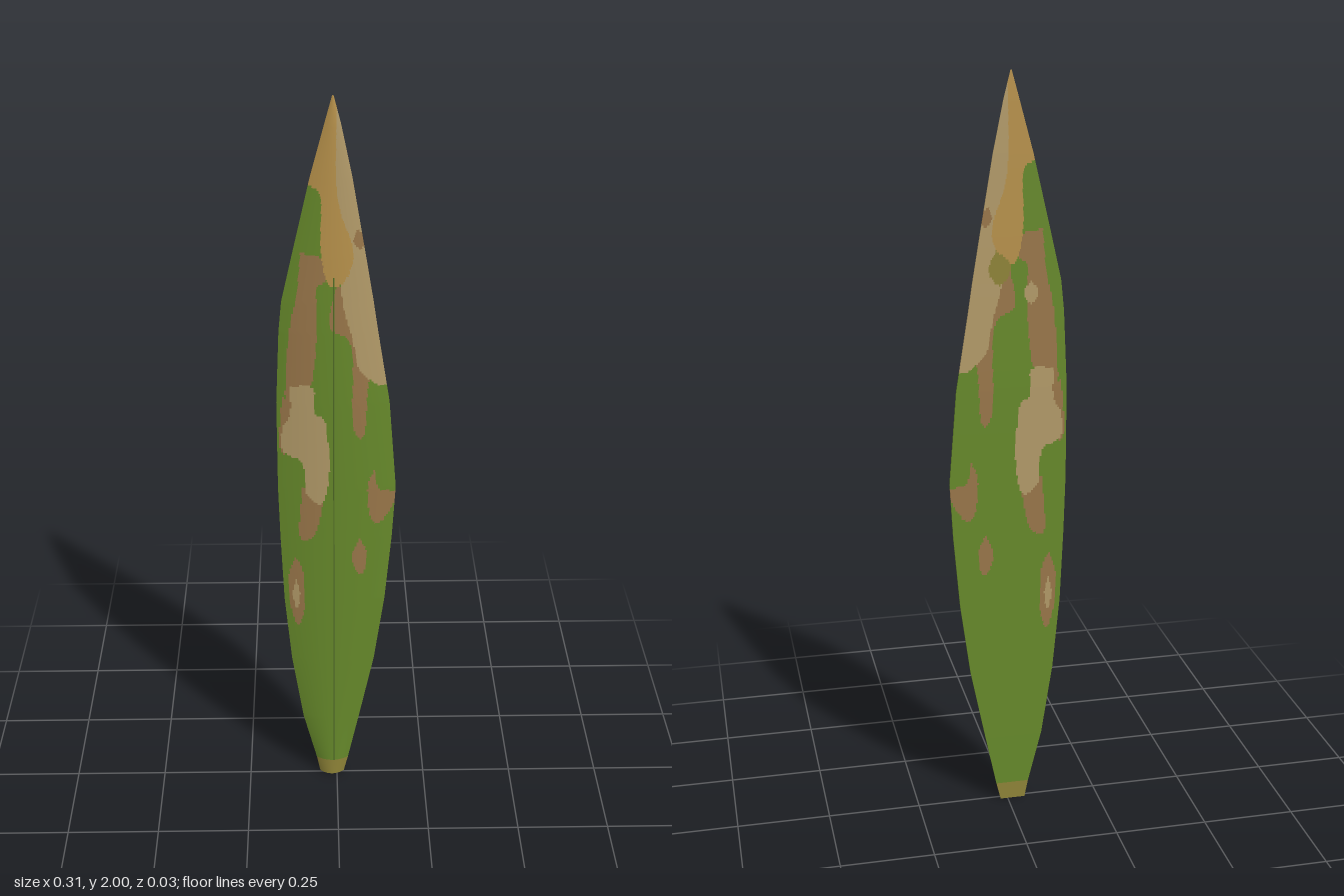
import * as THREE from 'three';

const mat = (name, color) => Object.assign(new THREE.MeshStandardMaterial({ color }), { name });
const materials = [
  mat('leafGreen', 0x678a2b), mat('dryTan', 0xb39b69), mat('blotchBrown', 0x9a774a),
  mat('tipOchre', 0xb8924b), mat('stemOlive', 0x8f8438), mat('ribGreen', 0x58762a),
];
const [GREEN, TAN, BROWN, OCHRE, OLIVE, RIB] = [0, 1, 2, 3, 4, 5];

// Cross-sections: y, left edge x, right edge x, back z, front z at edge, front z at middle
const sections = [
  [0.00, -0.048, 0.020, -0.012, -0.004, 0.011],
  [0.05, -0.058, 0.032, -0.012, -0.005, 0.011],
  [0.20, -0.095, 0.063, -0.013, -0.006, 0.011],
  [0.40, -0.125, 0.103, -0.013, -0.007, 0.011],
  [0.60, -0.143, 0.130, -0.014, -0.008, 0.011],
  [0.80, -0.151, 0.147, -0.015, -0.009, 0.011],
  [0.95, -0.155, 0.155, -0.015, -0.009, 0.011],
  [1.20, -0.155, 0.135, -0.015, -0.009, 0.011],
  [1.40, -0.146, 0.103, -0.013, -0.008, 0.010],
  [1.48, -0.138, 0.091, -0.012, -0.008, 0.009],
  [1.60, -0.111, 0.071, -0.011, -0.007, 0.007],
  [1.80, -0.065, 0.037, -0.009, -0.006, 0.003],
  [1.93, -0.030, 0.010, -0.007, -0.005, 0.000],
  [2.00, -0.011, -0.008, -0.005, -0.004, -0.003],
];

function sectionAt(y) {
  let i = 0;
  while (i < sections.length - 2 && y > sections[i + 1][0]) i++;
  const a = sections[i], b = sections[i + 1];
  const t = (y - a[0]) / (b[0] - a[0]);
  const [, left, right, back, edge, mid] = a.map((v, k) => v + (b[k] - v) * t);
  return { left, right, back, edge, mid };
}

function frontZ(s, x) {
  const t = (2 * (x - s.left)) / (s.right - s.left) - 1;
  return s.edge + (s.mid - s.edge) * (1 - t * t);
}

// Blotches: closed smooth outlines in hundredths of a unit; later ones lie on top
const blotches = [];
function blotch(color, points, backOnly = false) {
  const curve = new THREE.SplineCurve([...points, points[0]].map(([x, y]) => new THREE.Vector2(x / 100, y / 100)));
  const outline = curve.getPoints(points.length * 4);
  blotches.push({ color, outline, backOnly, box: new THREE.Box2().setFromPoints(outline) });
}
// right half
blotch(BROWN, [[0, 153], [-2, 142], [3, 138], [4, 130], [4, 114], [7, 111], [8, 126], [10, 128], [6, 140], [3, 150]]);
blotch(TAN, [[-1, 203], [-1, 176], [2, 162], [1, 153], [2, 145], [4, 138], [6, 129], [14, 126], [14, 150], [10, 180], [4, 203]]);
blotch(BROWN, [[5, 167], [7, 165], [6, 162], [4, 164]]);
blotch(BROWN, [[10, 101], [11, 95], [16, 93], [12, 85], [9, 86], [8, 96]]);
blotch(BROWN, [[6, 80], [8, 75], [7, 69], [5, 70], [4, 75]]);
// left half
blotch(BROWN, [[-9, 161], [-4, 160], [-3, 154], [-5, 152], [-5, 140], [-7, 124], [-13, 119], [-12, 140], [-10, 150]]);
blotch(BROWN, [[-14, 122], [-12, 118], [-13, 106], [-15, 108]]);
blotch(BROWN, [[-9, 96], [-4, 93], [-5, 84], [-7, 80], [-10, 81]]);
blotch(TAN, [[-12, 125], [-6, 125], [-6, 118], [-3, 115], [-2, 100], [-4, 91], [-8, 94], [-9, 103], [-14, 106], [-14, 113], [-12, 117]]);
blotch(BROWN, [[-11, 74], [-9, 68], [-9, 56], [-11, 52], [-13, 60], [-13, 68]]);
blotch(TAN, [[-11, 67], [-10, 62], [-11, 57], [-12, 62]]);
// tip, and two spots found only on the back
blotch(OCHRE, [[-1, 204], [-8, 181], [-4, 176], [-4, 162], [-2, 153], [2, 154], [4, 162], [0, 176], [0, 204]]);
blotch(OLIVE, [[3, 156], [5, 151], [2, 147], [-1, 152]], true);
blotch(TAN, [[-6, 148], [-4, 145], [-6, 142], [-8, 145]], true);

function inside(outline, x, y) {
  let hit = false;
  outline.forEach((p, i) => {
    const q = outline[(i || outline.length) - 1];
    if (p.y > y !== q.y > y && x < ((q.x - p.x) * (y - p.y)) / (q.y - p.y) + p.x) hit = !hit;
  });
  return hit;
}

function colorAt(x, y, onBack) {
  if (y < 0.05) return OLIVE;
  const p = new THREE.Vector2(x, y);
  let color = GREEN;
  for (const b of blotches) {
    if ((!b.backOnly || onBack) && b.box.containsPoint(p) && inside(b.outline, x, y)) color = b.color;
  }
  return color;
}

// Grid surface from f(u, v), its cells sorted into one group per colour
function sheet(name, nu, nv, f, onBack = false) {
  const position = [], cells = materials.map(() => []);
  for (let j = 0; j <= nv; j++) for (let i = 0; i <= nu; i++) position.push(...f(i / nu, j / nv));
  for (let j = 0; j < nv; j++) {
    for (let i = 0; i < nu; i++) {
      const a = j * (nu + 1) + i, b = a + 1, c = b + nu + 1, d = c - 1;
      const [x, y] = f((i + 0.5) / nu, (j + 0.5) / nv);
      cells[colorAt(x, y, onBack)].push(a, b, c, a, c, d);
    }
  }
  const geometry = new THREE.BufferGeometry();
  geometry.setAttribute('position', new THREE.Float32BufferAttribute(position, 3));
  geometry.setIndex(cells.flat());
  let start = 0;
  cells.forEach((list, k) => {
    if (list.length) geometry.addGroup(start, list.length, k);
    start += list.length;
  });
  geometry.computeVertexNormals();
  const mesh = new THREE.Mesh(geometry, materials);
  mesh.name = name;
  return mesh;
}

export function createModel() {
  const group = new THREE.Group();
  group.name = 'leafBlade';
  const lerp = THREE.MathUtils.lerp;

  // Domed front and flat back
  group.add(sheet('bladeFront', 60, 320, (u, v) => {
    const s = sectionAt(2 * v), x = lerp(s.left, s.right, u);
    return [x, 2 * v, frontZ(s, x)];
  }));
  group.add(sheet('bladeBack', 60, 320, (u, v) => {
    const s = sectionAt(2 * v);
    return [lerp(s.right, s.left, u), 2 * v, s.back];
  }, true));

  // Thin rims and the cut stem end
  group.add(sheet('leftRim', 1, 320, (u, v) => {
    const s = sectionAt(2 * v);
    return [s.right, 2 * v, lerp(s.edge, s.back, u)];
  }));
  group.add(sheet('rightRim', 1, 320, (u, v) => {
    const s = sectionAt(2 * v);
    return [s.left, 2 * v, lerp(s.back, s.edge, u)];
  }));
  group.add(sheet('stemEnd', 24, 1, (u, v) => {
    const s = sectionAt(0), x = lerp(s.left, s.right, u);
    return [x, 0, lerp(s.back, frontZ(s, x), v)];
  }));

  // Fine midrib, half sunk into the front
  const path = [];
  for (let y = 0.05; y < 1.56; y += 0.1) {
    path.push(new THREE.Vector3(-0.008, y, frontZ(sectionAt(y), -0.008) - 0.001));
  }
  const rib = new THREE.Mesh(
    new THREE.TubeGeometry(new THREE.CatmullRomCurve3(path), 60, 0.0025, 6), materials[RIB]);
  rib.name = 'midrib';
  group.add(rib);
  return group;
}
